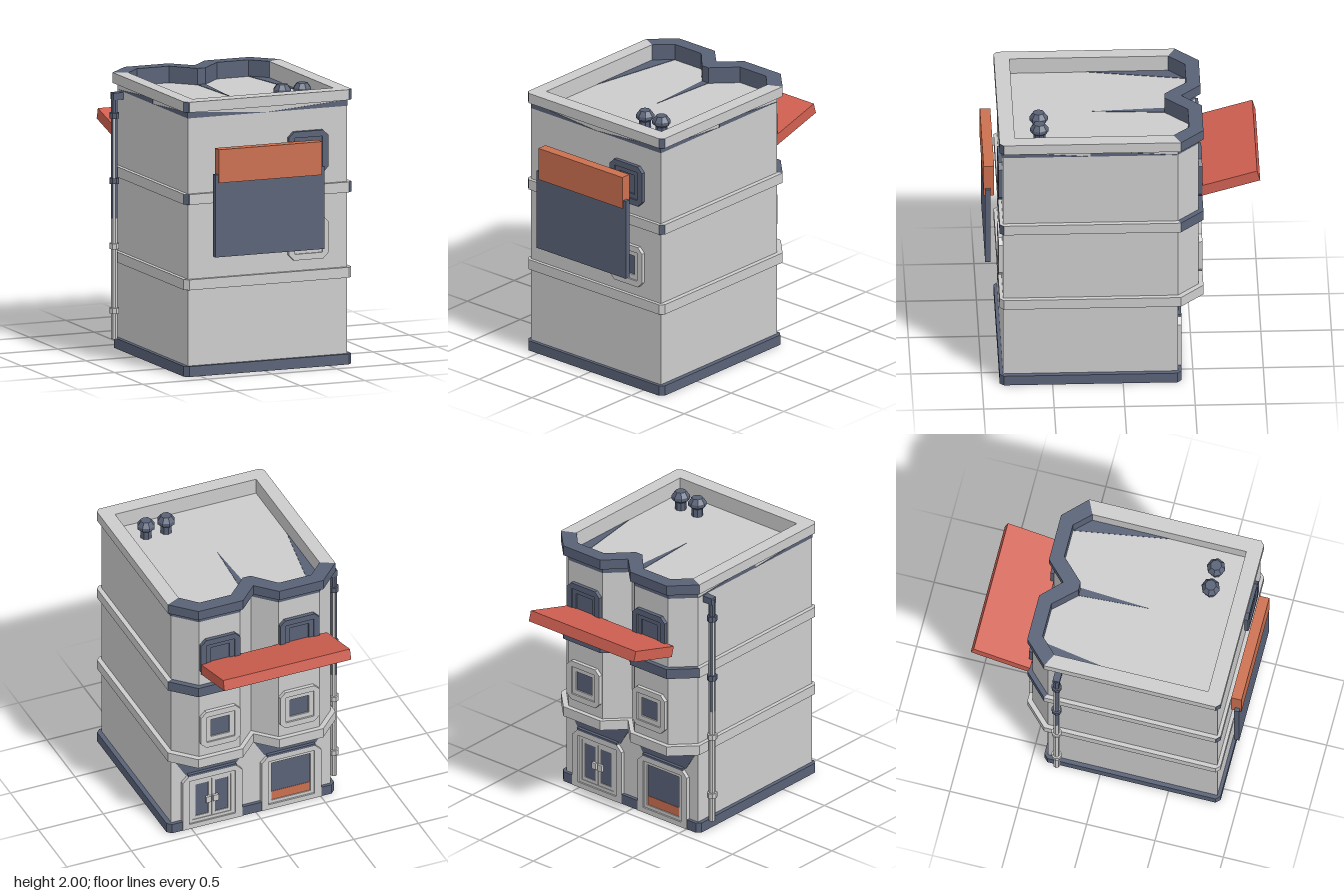
import * as THREE from 'three';

const mat = (name, color) => new THREE.MeshStandardMaterial({ name, color });

export function createModel() {
  const model = new THREE.Group();
  model.name = 'cornerShopBuilding';
  const stone = mat('pale stone', 0xcccccc);
  const slate = mat('slate blue', 0x596277);
  const orange = mat('sign orange', 0xcc7050);
  const red = mat('awning red', 0xd06051);

  const add = (parent, name, geo, material, x = 0, y = 0, z = 0) => {
    const m = new THREE.Mesh(geo, material);
    m.name = name;
    m.position.set(x, y, z);
    parent.add(m);
    return m;
  };
  const box = (parent, name, material, w, h, d, x, y, z) =>
    add(parent, name, new THREE.BoxGeometry(w, h, d), material, x, y, z);
  const shapeOf = pts => new THREE.Shape(pts.map(p => new THREE.Vector2(p[0], p[1])));
  const extrude = (shape, depth) => new THREE.ExtrudeGeometry(shape, { depth, bevelEnabled: false });
  // Plan outline (x, z) raised from y0 to y1
  const slab = (name, pts, y0, y1, material) => {
    const g = extrude(shapeOf(pts), y1 - y0);
    g.rotateX(Math.PI / 2);
    return add(model, name, g, material, 0, y1, 0);
  };

  // Plan outlines: double-bay rear facade, and the plain sides and front
  const wallBay = [[-0.585, -0.39], [-0.435, -0.54], [-0.12, -0.54], [0.03, -0.39], [0.18, -0.54], [0.495, -0.54], [0.645, -0.39]];
  const wallBody = [[0.645, -0.39], [0.645, 0.85], [-0.585, 0.85], [-0.585, -0.39]];
  const trimBay = [[-0.615, -0.41], [-0.45, -0.575], [-0.11, -0.575], [0.03, -0.435], [0.17, -0.575], [0.515, -0.575], [0.68, -0.41]];
  const trimBody = [[0.68, -0.41], [0.68, 0.845], [0.65, 0.875], [-0.585, 0.875], [-0.615, 0.845], [-0.615, -0.41]];
  const innerBay = [[-0.515, -0.36], [-0.4, -0.475], [-0.15, -0.475], [0, -0.315], [0.06, -0.315], [0.22, -0.475], [0.465, -0.475], [0.575, -0.36]];
  const innerBody = [[0.575, -0.36], [0.575, 0.765], [-0.515, 0.765], [-0.515, -0.36]];
  const ring = (name, bay, body, y0, y1, bayMaterial) => {
    slab(name + 'Facade', [...bay, ...[...innerBay].reverse()], y0, y1, bayMaterial);
    slab(name + 'Sides', [...body, ...[...innerBody].reverse()], y0, y1, stone);
  };

  // Walls, trims and parapet
  slab('groundFloor', wallBody, 0.01, 0.63, stone);
  slab('upperFloors', [...wallBay, [0.645, 0.85], [-0.585, 0.85]], 0.63, 1.86, stone);
  ring('lowerTrim', trimBay, trimBody, 0.625, 0.7, stone);
  ring('middleTrim', trimBay, trimBody, 1.24, 1.315, slate);
  ring('parapetWall', wallBay, wallBody, 1.86, 1.905, slate);
  ring('parapetTrim', trimBay, trimBody, 1.905, 1.98, slate);
  for (const y of [1.2775, 1.9425]) for (const s of [-1, 1]) {
    const c = box(model, 'trimCorner', slate, 0.042, 0.074, 0.004, 0.0325 + s * 0.6325, y, 0.86);
    c.rotation.y = s * Math.PI / 4;
  }

  // Base, notched for the doorways
  const cx = [-0.273, 0.338];
  const notch = c => [[c - 0.23, -0.415], [c - 0.23, -0.385], [c + 0.23, -0.385], [c + 0.23, -0.415]];
  slab('base', [[-0.615, -0.385], [-0.585, -0.415], ...notch(cx[0]), ...notch(cx[1]),
    [0.65, -0.415], [0.68, -0.385], [0.68, 0.845], [0.65, 0.875], [-0.585, 0.875], [-0.615, 0.845]], 0, 0.075, slate);

  // Dark wedges on the roof and below the parapet
  for (const t of [
    [[-0.515, -0.36], [-0.4, -0.475], [-0.515, 0.225]],
    [[0, -0.315], [0.06, -0.315], [0.03, 0.2]],
    [[0.465, -0.475], [0.575, -0.36], [0.575, 0.215]],
  ]) slab('roofWedge', t, 1.858, 1.863, slate);
  const wedge = (pts, x, z, turn) => {
    const m = add(model, 'parapetWedge', extrude(shapeOf(pts), 0.003), slate, x, 0, z);
    m.rotation.y = turn;
  };
  wedge([[-0.585, 1.86], [0.03, 1.86], [-0.585, 1.905]], 0, 0.85, 0);
  wedge([[0.03, 1.86], [0.645, 1.86], [0.645, 1.905]], 0, 0.85, 0);
  for (const z0 of [0.85, 0.23]) {
    wedge([[-z0, 1.86], [-z0 + 0.62, 1.86], [-z0, 1.905]], 0.645, 0, Math.PI / 2);
    wedge([[z0, 1.86], [z0, 1.905], [z0 - 0.62, 1.86]], -0.585, 0, -Math.PI / 2);
  }

  // Frame with clipped corners and a rectangular opening
  const octagon = (w, h, c) => [[-w + c, -h], [w - c, -h], [w, -h + c], [w, h - c], [w - c, h], [-w + c, h], [-w, h - c], [-w, -h + c]];
  const rect = (w, h) => [[-w, -h], [w, -h], [w, h], [-w, h]];
  const frame = (outer, w, h, depth) => {
    const s = shapeOf(outer);
    s.holes.push(shapeOf(rect(w, h)));
    return extrude(s, depth);
  };

  // Windows: two storeys, two in the rear bays and one in the front
  const addWindow = (x, y, z, turn, material) => {
    const g = new THREE.Group();
    g.name = 'window';
    g.position.set(x, y, z);
    g.rotation.y = turn;
    add(g, 'windowFrame', frame(octagon(0.1525, 0.1525, 0.04), 0.108, 0.108, 0.028), material);
    add(g, 'windowInnerFrame', frame(rect(0.108, 0.108), 0.073, 0.073, 0.016), material);
    box(g, 'windowGlass', slate, 0.15, 0.15, 0.006, 0, 0, 0.002);
    model.add(g);
  };
  for (const [y, m] of [[0.932, stone], [1.553, slate]]) {
    for (const x of cx) addWindow(x, y, -0.54, Math.PI, m);
    addWindow(cx[1], y, 0.85, 0, m);
  }

  // Ground floor openings on the rear facade
  const addOpening = (name, x) => {
    const g = new THREE.Group();
    g.name = name;
    g.position.set(x, 0, -0.39);
    g.rotation.y = Math.PI;
    const outer = [[-0.23, -0.225], [0.23, -0.225], [0.23, 0.18], [0.185, 0.225], [-0.185, 0.225], [-0.23, 0.18]];
    add(g, 'doorFrame', frame(outer, 0.178, 0.185, 0.028), stone, 0, 0.225, 0);
    add(g, 'doorInnerFrame', frame(rect(0.178, 0.185), 0.15, 0.16, 0.016), stone, 0, 0.225, 0);
    box(g, 'doorFrameCap', slate, 0.37, 0.02, 0.028, 0, 0.457, 0.014);
    box(g, 'doorGlass', slate, 0.31, 0.33, 0.006, 0, 0.225, 0.003);
    add(g, 'overhangPanel', extrude(shapeOf([[-0.2, 0.46], [0.2, 0.46], [0.3, 0.625], [-0.3, 0.625]]), 0.004), slate);
    model.add(g);
    return g;
  };
  const shop = addOpening('shopWindow', cx[0]);
  box(shop, 'shopWindowPanel', orange, 0.3, 0.07, 0.006, 0, 0.1, 0.006);
  const doors = addOpening('doubleDoor', cx[1]);
  for (const s of [-1, 1]) {
    add(doors, 'doorLeaf', frame(rect(0.073, 0.16), 0.05, 0.135, 0.012), stone, s * 0.075, 0.225, 0);
    box(doors, 'doorHandle', stone, 0.04, 0.05, 0.02, s * 0.028, 0.215, 0.02);
  }

  // Awning over the rear facade
  box(model, 'awning', red, 0.98, 0.08, 0.43, 0, 1.523, -0.761).rotation.x = 0.28;

  // Front sign
  box(model, 'signPanel', slate, 0.845, 0.595, 0.037, -0.003, 1.163, 0.951);
  box(model, 'signHeader', orange, 0.795, 0.24, 0.075, -0.003, 1.522, 0.942);

  // Roof vents
  for (const x of [0.26, 0.415]) {
    const profile = [[0.042, 1.86], [0.042, 1.92], [0.066, 1.94], [0.066, 1.965], [0.04, 2], [0, 2]];
    const g = new THREE.LatheGeometry(profile.map(p => new THREE.Vector2(p[0], p[1])), 8).toNonIndexed();
    g.computeVertexNormals();
    add(model, 'roofVent', g, slate, x, 0, 0.585);
  }

  // Drainpipe with brackets and a top elbow
  const pipe = (name, r, y0, y1, material) => {
    const g = new THREE.CylinderGeometry(r, r, y1 - y0, 8).toNonIndexed();
    g.computeVertexNormals();
    return add(model, name, g, material, -0.647, (y0 + y1) / 2, -0.31);
  };
  pipe('pipeLower', 0.024, 0.08, 0.95, stone);
  const striped = pipe('pipeMiddle', 0.024, 0.95, 1.69, [slate, stone]);
  striped.geometry.clearGroups();
  for (let i = 0; i < 8; i++) striped.geometry.addGroup(i * 6, 6, i % 2);
  pipe('pipeUpper', 0.024, 1.69, 1.84, slate);
  [0.285, 0.75, 1.22, 1.69].forEach((y, i) =>
    pipe('pipeBracket', 0.037, y - 0.02, y + 0.02, i < 2 ? stone : slate));
  box(model, 'pipeElbow', slate, 0.085, 0.05, 0.05, -0.622, 1.83, -0.31);

  return model;
}
